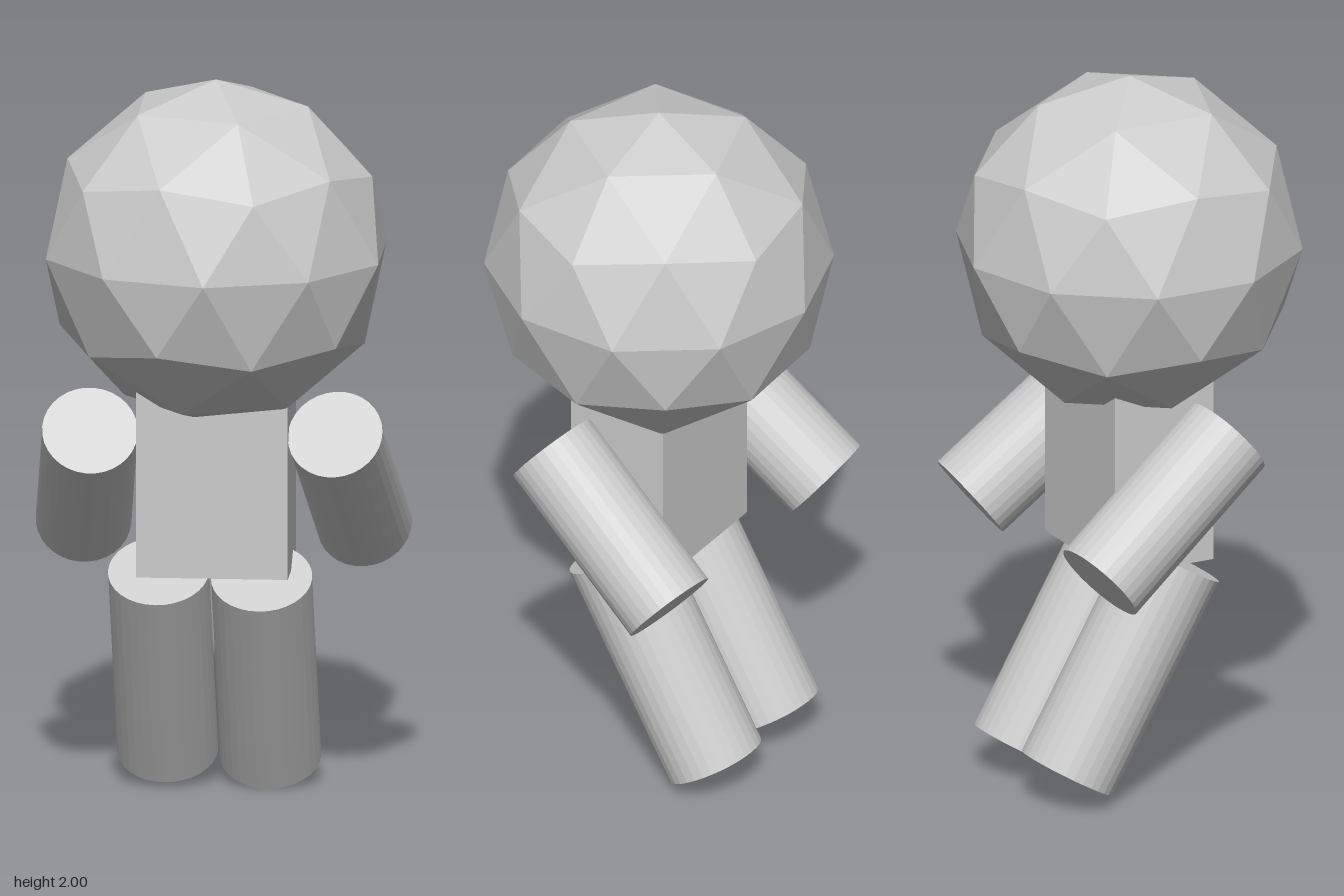
import * as THREE from 'three';

export function createModel() {
  const model = new THREE.Group();
  model.name = 'figure';
  const grey = new THREE.MeshStandardMaterial({ color: 0xcccccc, flatShading: true });
  grey.name = 'light grey';

  const add = (name, geometry) => {
    const mesh = new THREE.Mesh(geometry, grey);
    mesh.name = name;
    model.add(mesh);
    return mesh;
  };

  // Cylinder running between the centres of its two end caps
  const limb = (name, radius, top, bottom) => {
    const a = new THREE.Vector3(...top);
    const b = new THREE.Vector3(...bottom);
    const axis = a.clone().sub(b);
    const mesh = add(name, new THREE.CylinderGeometry(radius, radius, axis.length(), 32));
    mesh.position.copy(a).add(b).multiplyScalar(0.5);
    mesh.quaternion.setFromUnitVectors(new THREE.Vector3(0, 1, 0), axis.normalize());
  };

  // Head: faceted icosphere turned so that one corner points straight up
  const head = new THREE.IcosahedronGeometry(0.475, 1);
  head.rotateZ(-Math.atan(2 / (1 + Math.sqrt(5))));
  add('head', head).position.y = 1.525;

  // Torso, reaching up into the head
  add('torso', new THREE.BoxGeometry(0.412, 0.6, 0.3)).position.y = 0.947;

  // Arms swing back and slightly outwards
  for (const [side, s] of [['left', 1], ['right', -1]]) {
    limb(side + 'Arm', 0.13, [s * 0.333, 1.048, 0.129], [s * 0.382, 0.71, -0.288]);
  }

  // Legs slope back by 30 degrees, the right one a touch higher
  limb('leftLeg', 0.1375, [0.128, 0.632, 0.056], [0.128, 0.069, -0.268]);
  limb('rightLeg', 0.1375, [-0.152, 0.645, 0.056], [-0.152, 0.082, -0.268]);

  return model;
}
